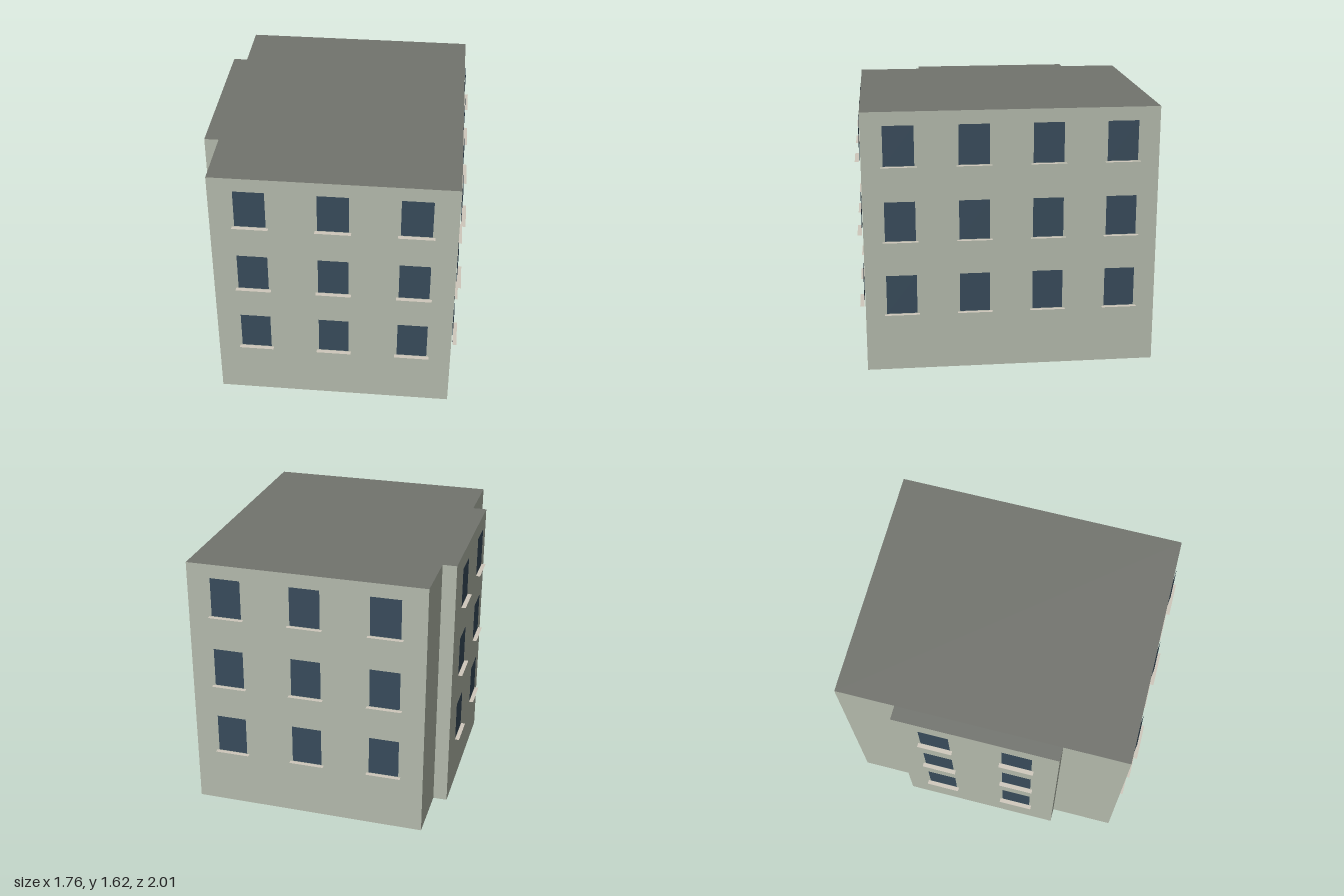
import * as THREE from 'three';

const material = (color, side = THREE.FrontSide) => new THREE.MeshStandardMaterial({ color, side });

export function createModel() {
  const model = new THREE.Group();
  model.name = 'apartmentBlock';

  const wall = material(0xb4baac);
  const roof = material(0x72746e);
  const glass = material(0x384b5b, THREE.DoubleSide);
  const stone = material(0xcfc8bc, THREE.DoubleSide);

  // The whole block stands slightly turned on its plot
  const building = new THREE.Group();
  building.name = 'building';
  building.rotation.y = 0.153;
  model.add(building);

  // Body: footprint (x, z) with a shallow bay on the right-hand wall
  const footprint = [
    [-0.714, 0.89], [0.733, 0.89], [0.733, -0.885], [-0.714, -0.885],
    [-0.714, -0.52], [-0.8, -0.52], [-0.8, 0.49], [-0.714, 0.49],
  ];
  const shape = new THREE.Shape(footprint.map(([x, z]) => new THREE.Vector2(x, -z)));
  const bodyGeometry = new THREE.ExtrudeGeometry(shape, { depth: 1.615, bevelEnabled: false });
  bodyGeometry.rotateX(-Math.PI / 2);
  const body = new THREE.Mesh(bodyGeometry, [roof, wall]);
  body.name = 'wallsAndRoof';
  building.add(body);

  // Window pane with a thin ledge along its lower edge
  const paneGeometry = new THREE.PlaneGeometry(0.184, 0.243);
  const sillGeometry = new THREE.PlaneGeometry(0.213, 0.026).rotateX(-Math.PI / 2);
  function addWindow(parent, x, y) {
    const pane = new THREE.Mesh(paneGeometry, glass);
    pane.name = 'windowPane';
    pane.position.set(x, y, 0.01);
    const sill = new THREE.Mesh(sillGeometry, stone);
    sill.name = 'windowSill';
    sill.position.set(x, y - 0.124, 0.024);
    parent.add(pane, sill);
  }

  // Each facade faces its own +z: centre, turn, number of columns and spacing
  const facades = [
    ['frontWindows', 0.01, 0.89, 0, 3, 0.483],
    ['backWindows', 0.01, -0.885, Math.PI, 3, 0.483],
    ['leftWindows', 0.733, 0.004, Math.PI / 2, 4, 0.444],
    ['rightWindows', -0.8, -0.014, -Math.PI / 2, 2, 0.506],
  ];
  for (const [name, x, z, turn, columns, spacing] of facades) {
    const facade = new THREE.Group();
    facade.name = name;
    facade.position.set(x, 0, z);
    facade.rotation.y = turn;
    for (const y of [0.491, 0.952, 1.413]) {
      for (let i = 0; i < columns; i++) addWindow(facade, (i - (columns - 1) / 2) * spacing, y);
    }
    building.add(facade);
  }

  return model;
}
